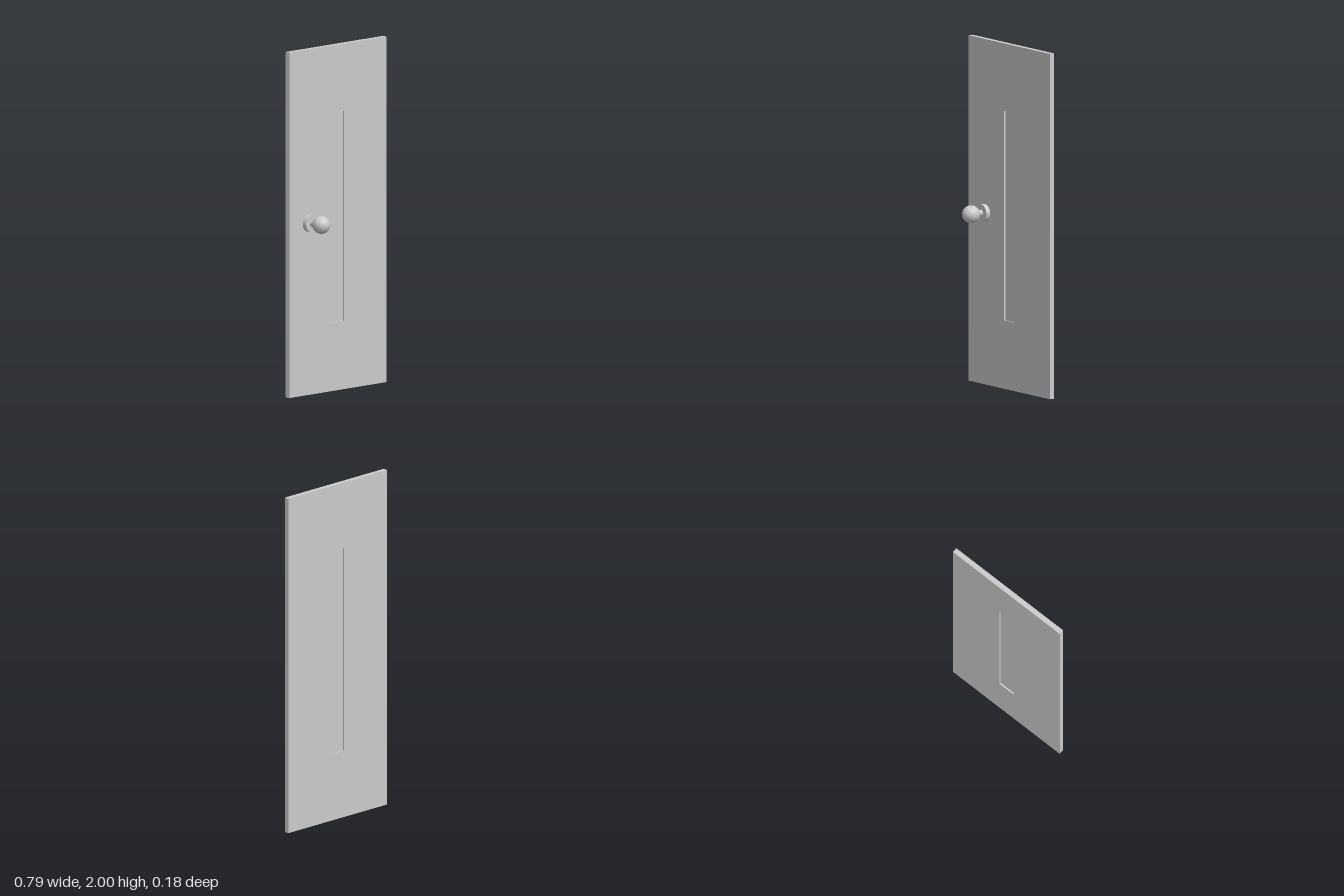
import * as THREE from 'three';

const material = new THREE.MeshStandardMaterial({ color: 0xcccccc });

function add(parent, name, geometry, x, y, z) {
  const mesh = new THREE.Mesh(geometry, material);
  mesh.name = name;
  mesh.position.set(x, y, z);
  parent.add(mesh);
  return mesh;
}

// Rectangle outline from its corners
function rect(path, x0, y0, x1, y1) {
  path.moveTo(x0, y0);
  path.lineTo(x1, y0);
  path.lineTo(x1, y1);
  path.lineTo(x0, y1);
  path.closePath();
  return path;
}

export function createModel() {
  const door = new THREE.Group();
  door.name = 'door';

  // Slab with a tall narrow window opening
  const back = -0.091, front = -0.061;
  const outline = rect(new THREE.Shape(), -0.394, 0, 0.394, 2);
  outline.holes.push(rect(new THREE.Path(), -0.051, 0.397, 0.051, 1.61));
  const slab = new THREE.ExtrudeGeometry(outline, { depth: front - back, bevelEnabled: false });
  add(door, 'doorSlab', slab, 0, 0, back);

  // Pane set back from both faces
  add(door, 'windowPane', new THREE.BoxGeometry(0.102, 1.213, 0.012), 0, 1.0035, (front + back) / 2);

  // Knob on the front: rose, stem and ball along z
  const knob = new THREE.Group();
  knob.name = 'doorKnob';
  knob.position.set(-0.235, 0.995, 0);
  door.add(knob);
  const rod = (radius, z0, z1) =>
    new THREE.CylinderGeometry(radius, radius, z1 - z0, 32).rotateX(Math.PI / 2).translate(0, 0, (z0 + z1) / 2);
  add(knob, 'knobRose', rod(0.05, front, -0.034), 0, 0, 0);
  add(knob, 'knobStem', rod(0.019, -0.034, -0.005), 0, 0, 0);
  add(knob, 'knobBall', new THREE.SphereGeometry(0.052, 24, 12).rotateX(Math.PI / 2), 0, 0, 0.038);

  return door;
}
